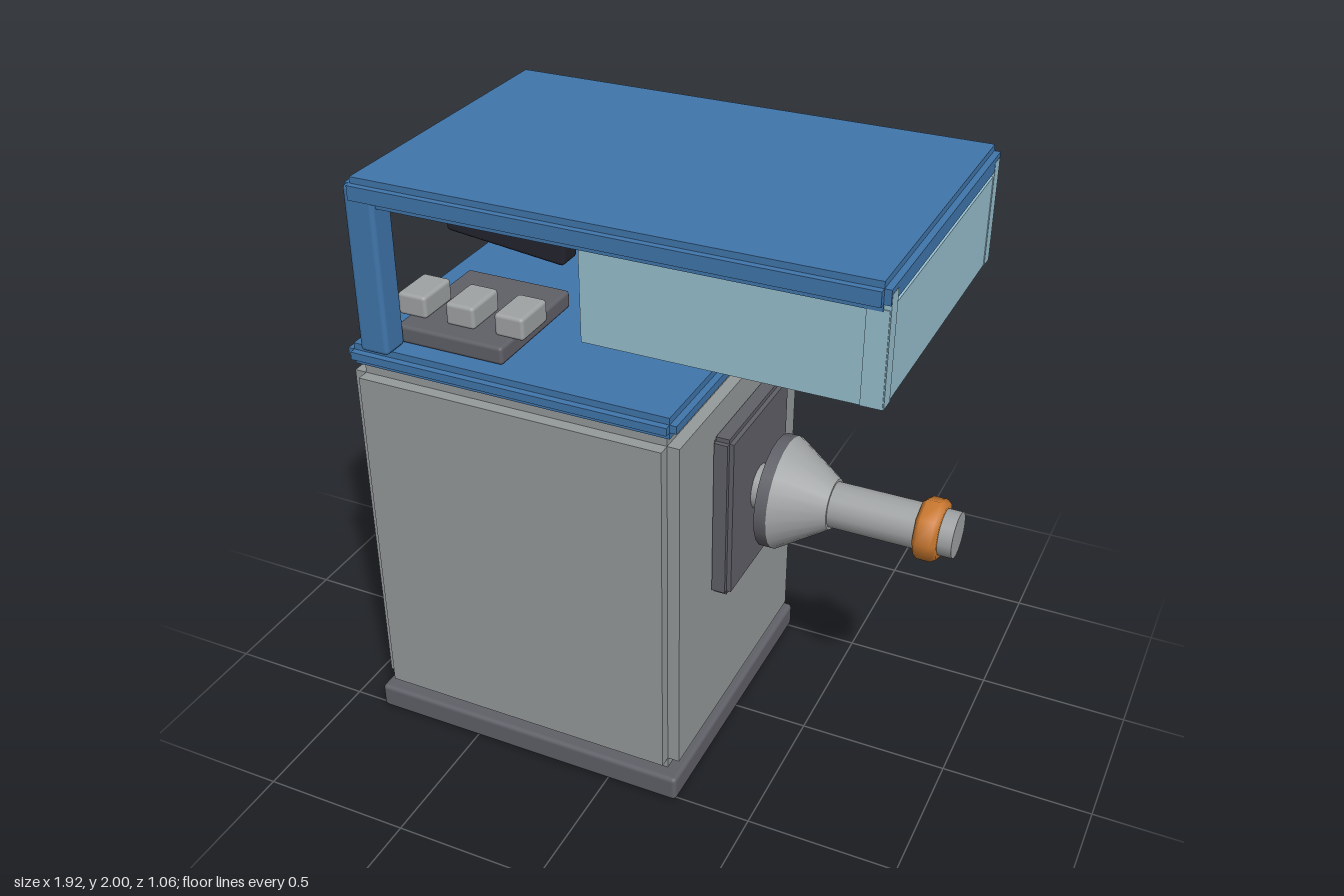
import * as THREE from 'three';
import { RoundedBoxGeometry } from 'three/addons/geometries/RoundedBoxGeometry.js';

const paint = (name, color) => {
  const m = new THREE.MeshStandardMaterial({ color });
  m.name = name;
  return m;
};

export function createModel() {
  const model = new THREE.Group();
  model.name = 'machine';

  const bodyGrey = paint('body grey', 0x959a9b);
  const lightMetal = paint('light metal', 0xa0a3a4);
  const darkMetal = paint('dark metal', 0x606068);
  const blue = paint('blue', 0x4076ac);
  const glass = paint('pale blue glass', 0x98c0d0);
  const black = paint('screen black', 0x24242e);
  const orange = paint('orange', 0xcc7a30);

  const add = (name, geometry, material, parent = model) => {
    const mesh = new THREE.Mesh(geometry, material);
    mesh.name = name;
    parent.add(mesh);
    return mesh;
  };

  // Boxes are given by their min and max on each axis
  const place = (mesh, x, y, z) =>
    mesh.position.set((x[0] + x[1]) / 2, (y[0] + y[1]) / 2, (z[0] + z[1]) / 2);
  const size = (r) => r[1] - r[0];

  const box = (name, x, y, z, material) =>
    place(add(name, new THREE.BoxGeometry(size(x), size(y), size(z)), material), x, y, z);

  const softBox = (name, x, y, z, material, radius = 0.015) =>
    place(add(name, new RoundedBoxGeometry(size(x), size(y), size(z), 2, radius), material), x, y, z);

  // Box with stepped-in edges: three crossing slabs, each full length along one axis
  const steppedBox = (name, x, y, z, inset, material) => {
    const group = new THREE.Group();
    group.name = name;
    const full = [size(x), size(y), size(z)];
    ['X', 'Y', 'Z'].forEach((axis, i) => {
      const s = full.map((v, j) => (i === j ? v : v - 2 * inset));
      add(name + 'Slab' + axis, new THREE.BoxGeometry(...s), material, group);
    });
    place(group, x, y, z);
    model.add(group);
  };

  // Cabinet
  softBox('base', [-0.88, 0.25], [0, 0.09], [-0.52, 0.52], darkMetal);
  steppedBox('body', [-0.87, 0.24], [0.09, 1.37], [-0.51, 0.51], 0.04, bodyGrey);
  steppedBox('lid', [-0.87, 0.24], [1.37, 1.44], [-0.513, 0.513], 0.022, blue);

  // Canopy on two rear posts
  steppedBox('roof', [-0.8, 0.84], [1.915, 2], [-0.53, 0.53], 0.02, blue);
  for (const s of [-1, 1]) {
    const side = (a, b) => [Math.min(s * a, s * b), Math.max(s * a, s * b)];
    const label = s > 0 ? 'front' : 'back';
    softBox(label + 'Post', [-0.8, -0.7], [1.44, 1.98], side(0.43, 0.527), blue);
    box(label + 'SideGlass', [-0.05, 0.841], [1.63, 1.965], side(0.455, 0.505), glass);
  }
  box('endGlass', [0.775, 0.838], [1.63, 1.92], [-0.508, 0.508], glass);

  // Control panel with three buttons
  softBox('controlPanel', [-0.73, -0.36], [1.44, 1.5], [0, 0.43], darkMetal, 0.012);
  for (let i = 0; i < 3; i++) {
    const x = -0.715 + i * 0.17;
    softBox('button', [x - 0.05, x + 0.05], [1.495, 1.57], [0.207, 0.36], lightMetal, 0.012);
  }

  // Tilted screen
  const screen = add('screen', new RoundedBoxGeometry(0.455, 0.325, 0.1, 2, 0.015), black);
  screen.position.set(-0.717, 1.635, -0.277);
  screen.rotation.z = -0.11;

  // Nozzle, turned from +y to +x
  steppedBox('nozzlePlate', [0.23, 0.305], [0.655, 1.235], [-0.235, 0.235], 0.015, darkMetal);
  const nozzle = new THREE.Group();
  nozzle.name = 'nozzle';
  nozzle.position.y = 0.945;
  nozzle.rotation.z = -Math.PI / 2;
  model.add(nozzle);
  const turned = (name, r0, r1, from, to, sides, material) => {
    const mesh = add(name, new THREE.CylinderGeometry(r1, r0, to - from, sides), material, nozzle);
    mesh.position.y = (from + to) / 2;
  };
  turned('barrel', 0.075, 0.075, 0.29, 0.96, 16, lightMetal);
  turned('flange', 0.185, 0.185, 0.36, 0.4, 24, darkMetal);
  turned('cone', 0.185, 0.083, 0.4, 0.56, 24, lightMetal);

  // Bevelled collar near the tip
  const collar = [[0.07, 0.84], [0.09, 0.84], [0.102, 0.855], [0.102, 0.9], [0.09, 0.915], [0.07, 0.915]];
  add('collar', new THREE.LatheGeometry(collar.map((p) => new THREE.Vector2(...p)), 8), orange, nozzle);

  return model;
}
